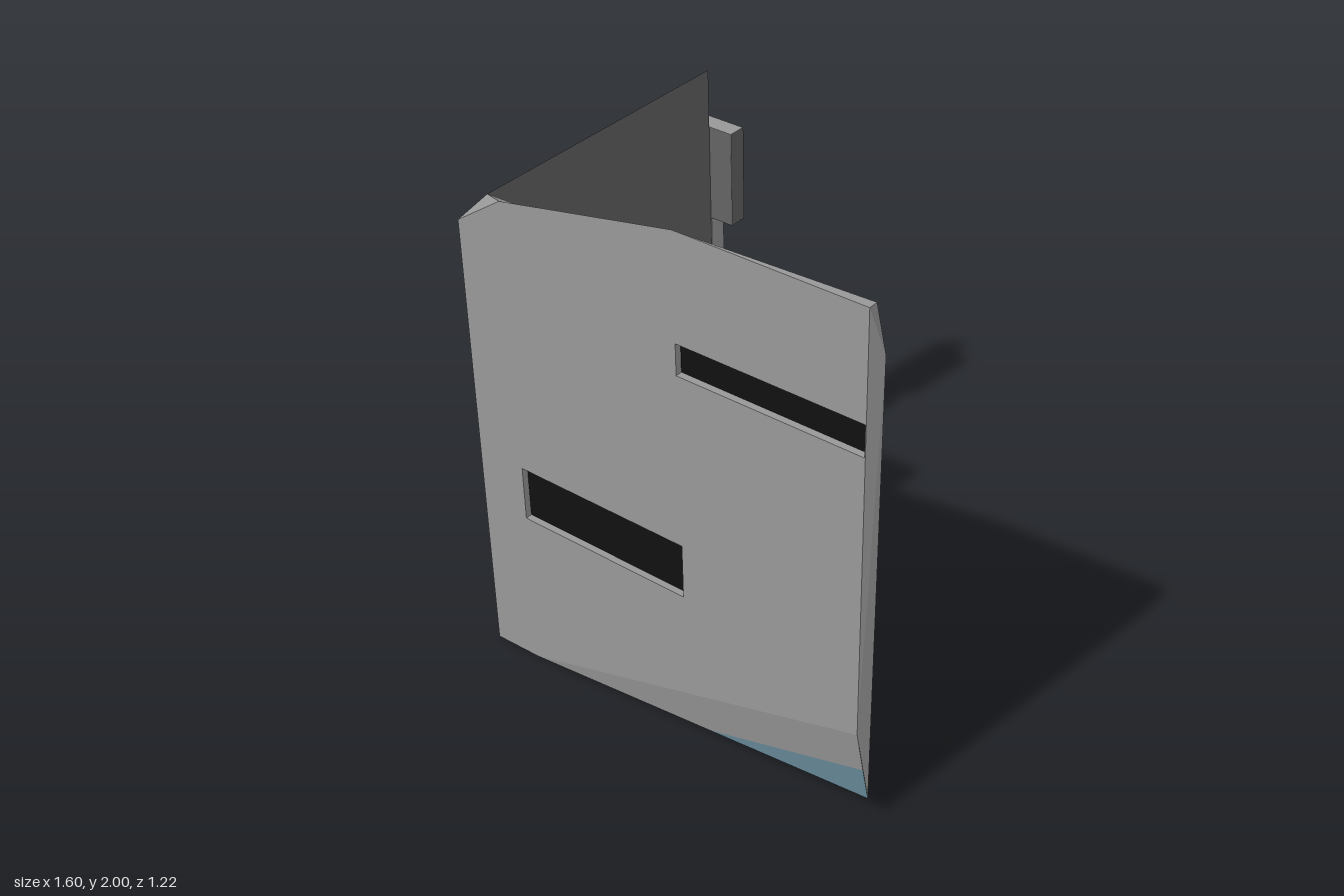
import * as THREE from 'three';

const mat = (name, color) => {
  const m = new THREE.MeshStandardMaterial({ color });
  m.name = name;
  return m;
};

export function createModel() {
  const model = new THREE.Group();
  model.name = 'buildingCorner';
  const grey = mat('wallGrey', 0x989898);
  const dark = mat('innerGrey', 0x646464);
  const black = mat('windowBlack', 0x101010);
  const blue = mat('slateBlue', 0x6c8e9e);
  const brown = mat('jambBrown', 0x80501f);

  // Flat convex face, wound so that it looks towards "out"
  function face(parent, name, material, out, pts) {
    const v = pts.map(p => new THREE.Vector3(...p));
    const n = new THREE.Vector3();
    for (let i = 1; i < v.length - 1; i++) {
      n.add(v[i].clone().sub(v[0]).cross(v[i + 1].clone().sub(v[0])));
    }
    if (n.dot(new THREE.Vector3(...out)) < 0) v.reverse();
    const tris = [];
    for (let i = 1; i < v.length - 1; i++) tris.push(v[0], v[i], v[i + 1]);
    const g = new THREE.BufferGeometry().setFromPoints(tris);
    g.computeVertexNormals();
    const mesh = new THREE.Mesh(g, material);
    mesh.name = name;
    parent.add(mesh);
  }

  const shapeOf = pts => new THREE.Shape(pts.map(p => new THREE.Vector2(...p)));

  // Wall face in local xy looking to +z, with recessed windows [x0, x1, y0, y1, jamb]
  function windowedWall(name, outline, windows, depth) {
    const group = new THREE.Group();
    group.name = name;
    const shape = shapeOf(outline);
    for (const [a, b, c, d, jamb] of windows) {
      shape.holes.push(new THREE.Path([[a, c], [a, d], [b, d], [b, c]].map(p => new THREE.Vector2(...p))));
      const z = -depth;
      face(group, 'windowPane', black, [0, 0, 1], [[a, c, z], [b, c, z], [b, d, z], [a, d, z]]);
      face(group, 'windowSill', grey, [0, 1, 0], [[a, c, z], [b, c, z], [b, c, 0], [a, c, 0]]);
      face(group, 'windowHead', grey, [0, -1, 0], [[a, d, z], [b, d, z], [b, d, 0], [a, d, 0]]);
      face(group, 'windowJamb', jamb, [1, 0, 0], [[a, c, z], [a, d, z], [a, d, 0], [a, c, 0]]);
      face(group, 'windowJamb', jamb, [-1, 0, 0], [[b, c, z], [b, d, z], [b, d, 0], [b, c, 0]]);
    }
    const mesh = new THREE.Mesh(new THREE.ShapeGeometry(shape), grey);
    mesh.name = name + 'Face';
    group.add(mesh);
    model.add(group);
    return group;
  }

  // Front wall, outer face
  const zf = 0.61, zi = 0.56, zb = -0.54;
  const outline = [[-0.8, 0], [-0.61, 0.005], [0.775, 0.42], [0.775, 2], [0.08, 2], [-0.61, 1.86], [-0.8, 1.73]];
  const front = windowedWall('frontWall', outline, [
    [-0.61, 0.08, 0.63, 0.84, grey],
    [0.08, 0.772, 1.495, 1.61, grey],
  ], 0.025);
  front.position.z = zf;

  // Front wall, broken edges and inner face
  const [A, B, C, D, E, F, G] = outline.map(p => [...p, zf]);
  const I = [-0.71, 0.11, zi], J = [0.79, 0.11, zi], K = [0.8, 1.83, zi], L = [-0.71, 1.83, zi];
  const T = [0.775, 2, 0.575], P = [-0.25, 1.85, 0.565];
  const M = [0.783, 0.25, 0.583], N = [0.15, 0.062, 0.583];
  face(model, 'frontWallInside', dark, [0, 0, -1], [I, J, K, L]);
  for (const pts of [[B, C, M], [B, M, N]]) face(model, 'frontLowerBevel', grey, [0, -1, 1], pts);
  face(model, 'frontLowerPatch', blue, [0, -1, 1], [N, M, J]);
  for (const pts of [[A, B, I], [B, J, I]]) face(model, 'frontUnderside', grey, [0, -1, 0], pts);
  for (const pts of [[C, J, K], [C, K, D], [D, K, T]]) face(model, 'frontWallEnd', grey, [1, 0, 0], pts);
  for (const pts of [[D, T, E], [E, T, P], [E, P, F], [F, P, L], [G, F, L]]) {
    face(model, 'frontWallTop', grey, [0, 1, 0], pts);
  }
  for (const pts of [[T, K, P], [K, L, P]]) face(model, 'frontTopBevel', grey, [0, 0.2, -1], pts);

  // Side wall, outer face with two rows of four windows
  const windows = [];
  for (let i = 0; i < 4; i++) {
    const z = -0.47 + i * 0.254;
    windows.push([z, z + 0.12, 1.35, 1.6, grey], [z, z + 0.12, 0.41, 0.825, brown]);
  }
  const side = windowedWall('sideWall', [[-0.61, 0], [zf, 0], [zf, 1.73], [zb, 1.73], [zb, 1.61], [-0.61, 1.61]], windows, 0.025);
  side.rotation.y = -Math.PI / 2;
  side.position.x = -0.8;

  // Side wall, inner face, bevels and end
  const Ib = [-0.71, 0.11, zb], Lb = [-0.71, 1.83, zb], Ab = [-0.8, 0, zb], Gb = [-0.8, 1.73, zb];
  face(model, 'sideWallInside', dark, [1, 0, 0], [I, L, Lb, Ib]);
  face(model, 'sideTopBevel', grey, [-1, 1, 0], [G, L, Lb, Gb]);
  face(model, 'sideBottomBevel', grey, [1, -1, 0], [A, I, Ib, Ab]);
  face(model, 'sideWallEnd', grey, [0, 0, -1], [Ab, Ib, Lb, Gb]);

  // Painted patches along the side wall's top bevel, given as [x, z]
  const onBevel = ([x, z]) => [x - 0.002, 1.83 + (x + 0.71) * 1.111 + 0.002, z];
  face(model, 'topEdgeShade', dark, [-1, 1, 0], [[-0.71, -0.49], [-0.735, -0.4], [-0.735, 0.22], [-0.71, 0.23]].map(onBevel));
  face(model, 'topFrontPatch', blue, [-1, 1, 0], [[-0.71, 0.43], [-0.71, 0.55], [-0.765, 0.52]].map(onBevel));
  face(model, 'topBackPatch', blue, [-1, 1, 0], [[-0.71, -0.54], [-0.75, -0.54], [-0.73, -0.51]].map(onBevel));

  // Broken back wall with a dark inner face
  const back = shapeOf([[-0.8, 0], [-0.22, 0], [-0.22, 0.64], [-0.709, 0.64], [-0.709, 1.245],
    [-0.615, 1.245], [-0.615, 1.61], [-0.8, 1.61]]);
  const backWall = new THREE.Mesh(
    new THREE.ExtrudeGeometry(back, { depth: 0.068, bevelEnabled: false }), grey);
  backWall.name = 'backWall';
  backWall.position.z = -0.61;
  const backInside = new THREE.Mesh(new THREE.ShapeGeometry(back), dark);
  backInside.name = 'backWallInside';
  backInside.position.z = -0.54;
  model.add(backWall, backInside);
  face(model, 'backUpperEnd', dark, [1, 0, 0],
    [[-0.613, 1.245, -0.61], [-0.613, 1.61, -0.61], [-0.613, 1.61, zb], [-0.613, 1.245, zb]]);

  return model;
}
